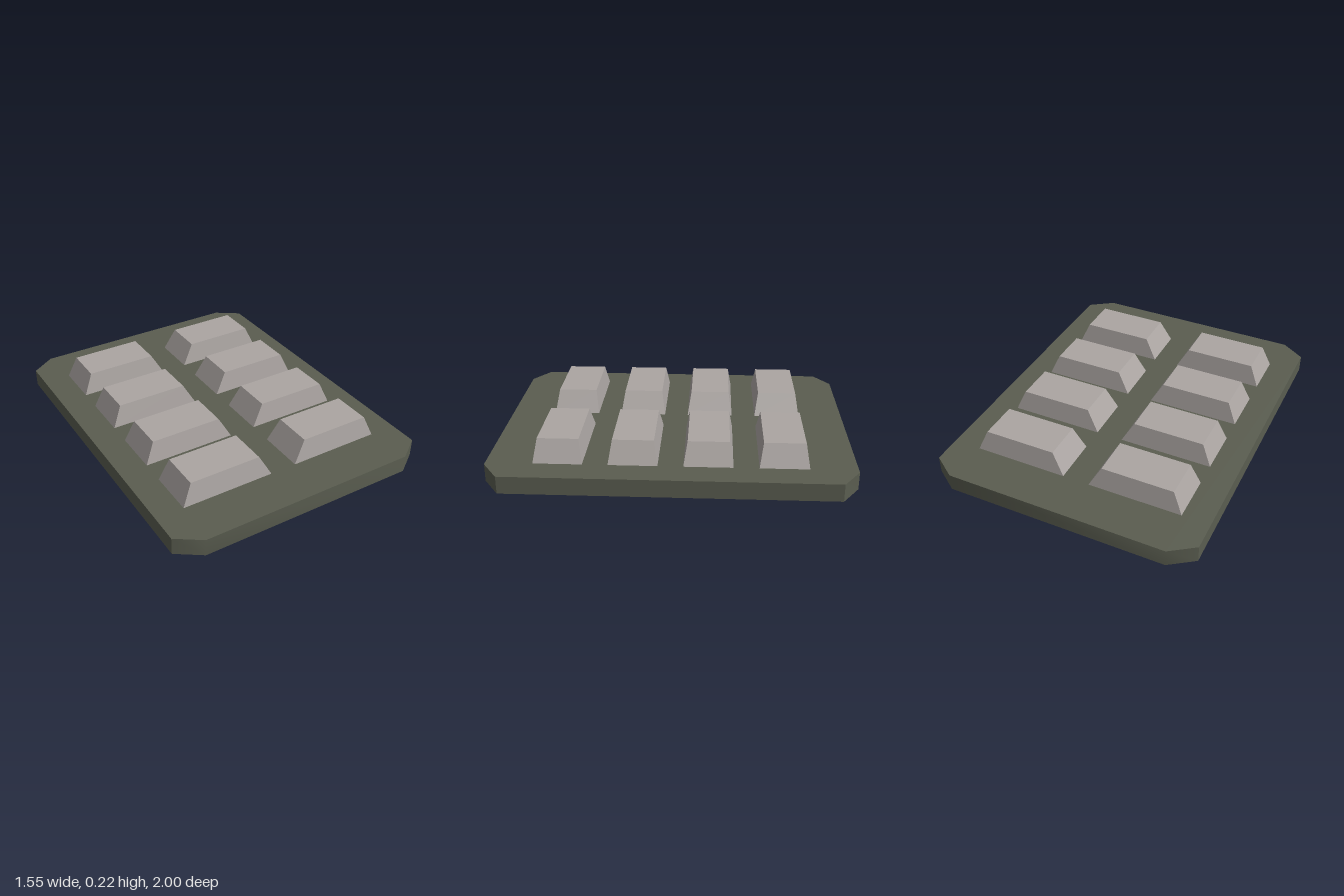
import * as THREE from 'three';
import { toCreasedNormals } from 'three/addons/utils/BufferGeometryUtils.js';

const BASE_HEIGHT = 0.1;
const BLOCK_TOP = 0.225;

// Flat plate with clipped corners
function plateGeometry() {
  const w = 0.775, d = 1, cx = 0.637, cz = 0.905;
  const outline = [[cx, -d], [w, -cz], [w, cz], [cx, d], [-cx, d], [-w, cz], [-w, -cz], [-cx, -d]];
  const shape = new THREE.Shape(outline.map(([x, y]) => new THREE.Vector2(x, y)));
  const geometry = new THREE.ExtrudeGeometry(shape, { depth: BASE_HEIGHT, bevelEnabled: false });
  geometry.rotateX(-Math.PI / 2);
  return toCreasedNormals(geometry, 0.75);
}

// Tapered block: the inner end slopes more than the outer one
function blockGeometry(side) {
  const geometry = new THREE.BoxGeometry(1, 1, 1);
  const p = geometry.attributes.position;
  for (let i = 0; i < p.count; i++) {
    const top = p.getY(i) > 0;
    const outer = p.getX(i) * side > 0;
    const x = outer ? (top ? 0.56 : 0.615) : (top ? 0.147 : 0.077);
    const z = top ? 0.113 : 0.134;
    p.setXYZ(i, side * x, top ? BLOCK_TOP : BASE_HEIGHT, Math.sign(p.getZ(i)) * z);
  }
  geometry.computeVertexNormals();
  return geometry;
}

export function createModel() {
  const plateMaterial = new THREE.MeshStandardMaterial({ color: 0x5a5d50 });
  plateMaterial.name = 'olive grey';
  const blockMaterial = new THREE.MeshStandardMaterial({ color: 0xaba5a2 });
  blockMaterial.name = 'warm grey';

  const model = new THREE.Group();
  model.name = 'blockTray';

  const plate = new THREE.Mesh(plateGeometry(), plateMaterial);
  plate.name = 'basePlate';
  model.add(plate);

  // Two columns of four blocks
  for (const side of [-1, 1]) {
    const geometry = blockGeometry(side);
    for (let row = 0; row < 4; row++) {
      const block = new THREE.Mesh(geometry, blockMaterial);
      block.name = `${side > 0 ? 'left' : 'right'}Block${row + 1}`;
      block.position.z = (row - 1.5) * 0.406;
      model.add(block);
    }
  }
  return model;
}
